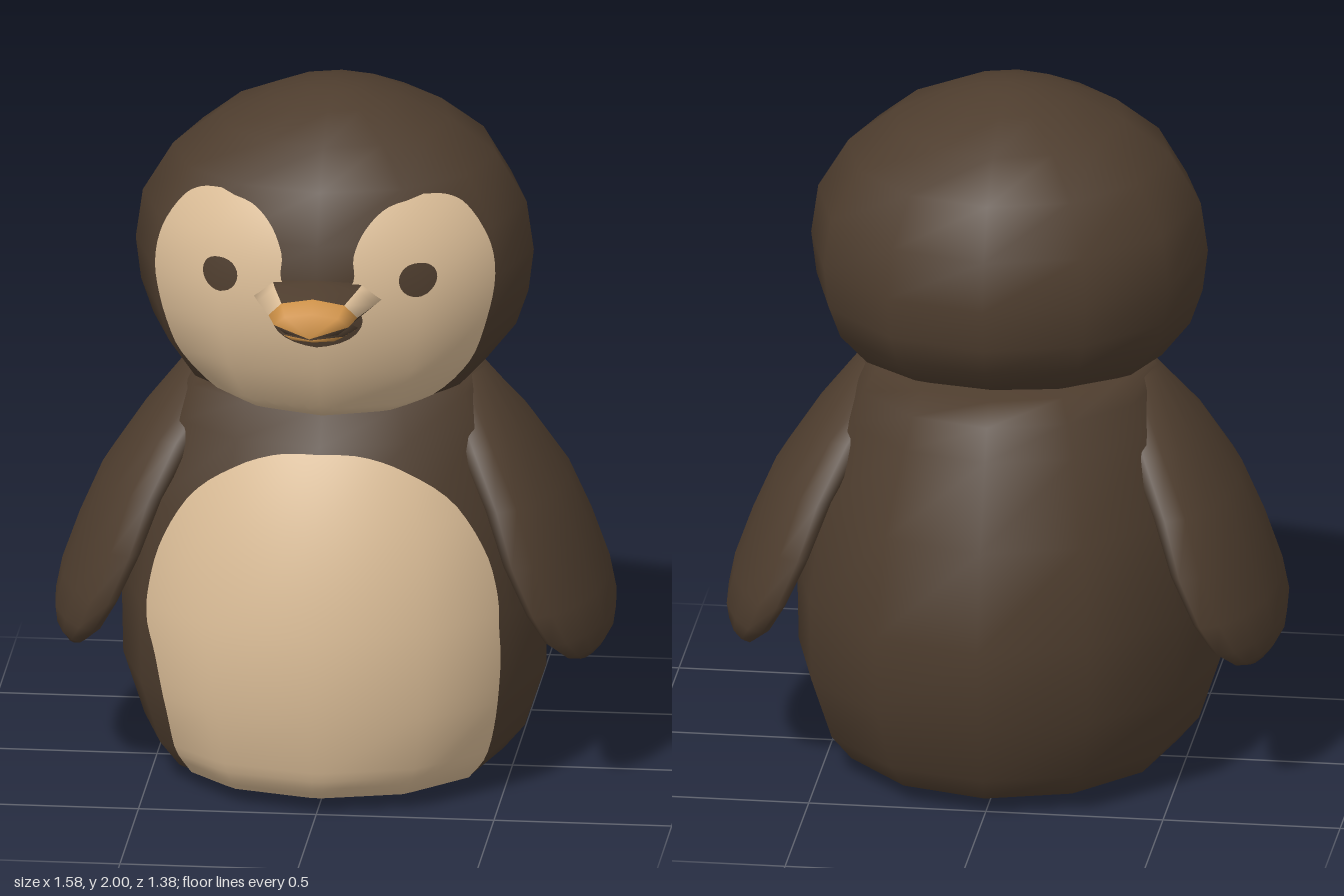
import * as THREE from 'three';
import { mergeVertices } from 'three/addons/utils/BufferGeometryUtils.js';

const material = (name, color) => {
  const m = new THREE.MeshStandardMaterial({ color });
  m.name = name;
  return m;
};

// Skin a stack of rings of n points; point(row, angle) gives each corner.
function loft(name, rows, n, point, mats, matIndex = () => 0) {
  const pos = [], index = [], geo = new THREE.BufferGeometry();
  for (const row of rows)
    for (let j = 0; j < n; j++) pos.push(...point(row, (j / n) * Math.PI * 2));
  for (let i = 0; i < rows.length - 1; i++)
    for (let j = 0; j < n; j++) {
      const k = (j + 1) % n, a = i * n + j, b = i * n + k, c = b + n, d = a + n;
      geo.addGroup(index.length, 6, matIndex(i, j));
      index.push(a, b, c, a, c, d);
    }
  geo.setAttribute('position', new THREE.Float32BufferAttribute(pos, 3));
  geo.setIndex(index);
  if (!Array.isArray(mats)) geo.clearGroups();
  const merged = mergeVertices(geo, 1e-5);
  merged.computeVertexNormals();
  const mesh = new THREE.Mesh(merged, mats);
  mesh.name = name;
  return mesh;
}

// Upright oval ring: [y, half width, front depth, back depth, tilt]
const oval = ([y, a, f, b, tilt = 0], t) => {
  const c = Math.cos(t), z = c * (c > 0 ? f : b);
  return [a * Math.sin(t), y - tilt * z, z];
};

// Thin marking laid on the front of a surface, between a left and a right edge curve.
function marking(name, target, left, right, mat, lift = 0.007, nu = 28, nv = 36) {
  const curve = pts => new THREE.SplineCurve(pts.map(p => new THREE.Vector2(...p)));
  const L = curve(left), R = curve(right), ray = new THREE.Raycaster();
  const centre = new THREE.Box3().setFromObject(target).getCenter(new THREE.Vector3());
  const pos = [], nor = [], index = [];
  for (let i = 0; i <= nv; i++)
    for (let j = 0; j <= nu; j++) {
      const p = L.getPoint(i / nv).lerp(R.getPoint(i / nv), j / nu);
      let hit;
      for (let tries = 0; !hit && tries < 60; tries++) {
        ray.set(new THREE.Vector3(p.x, p.y, 3), new THREE.Vector3(0, 0, -1));
        hit = ray.intersectObject(target)[0];
        if (!hit) p.lerp(new THREE.Vector2(centre.x, centre.y), 0.01);
      }
      const normal = hit.normal.clone().normalize();
      pos.push(...hit.point.addScaledVector(normal, lift).toArray());
      nor.push(...normal.toArray());
    }
  for (let i = 0; i < nv; i++)
    for (let j = 0; j < nu; j++) {
      const a = i * (nu + 1) + j, d = a + nu + 1;
      index.push(a, a + 1, d + 1, a, d + 1, d);
    }
  const geo = new THREE.BufferGeometry();
  geo.setAttribute('position', new THREE.Float32BufferAttribute(pos, 3));
  geo.setAttribute('normal', new THREE.Float32BufferAttribute(nor, 3));
  geo.setIndex(index);
  const mesh = new THREE.Mesh(geo, mat);
  mesh.name = name;
  return mesh;
}

const mirror = pts => pts.map(([x, y]) => [-x, y]);

export function createModel() {
  const model = new THREE.Group();
  model.name = 'penguin';
  const brown = material('dark brown feathers', 0x4e3d2e);
  const tan = material('cream feathers', 0xdcbe98);
  const orange = material('orange beak', 0xcb8f46);

  // Body and head
  const body = loft('body', [
    [0, 0, 0, 0], [0.025, 0.41, 0.42, 0.45], [0.05, 0.475, 0.49, 0.53], [0.12, 0.535, 0.525, 0.58],
    [0.3, 0.595, 0.56, 0.65], [0.54, 0.6, 0.575, 0.69], [0.82, 0.56, 0.51, 0.63],
    [1.05, 0.48, 0.41, 0.52], [1.14, 0.44, 0.33, 0.48], [1.2, 0.4, 0.26, 0.43], [1.24, 0, 0, 0],
  ], 12, oval, brown);
  const head = loft('head', [
    [1.17, 0, 0, 0], [1.165, 0.36, 0.33, 0.37, 0.13], [1.2, 0.43, 0.39, 0.45, 0.1],
    [1.3, 0.51, 0.45, 0.53, 0.04], [1.4, 0.545, 0.485, 0.56], [1.52, 0.56, 0.495, 0.575],
    [1.66, 0.54, 0.475, 0.55], [1.8, 0.455, 0.41, 0.475], [1.9, 0.325, 0.31, 0.35],
    [1.965, 0.18, 0.18, 0.2], [1.992, 0.08, 0.08, 0.09], [2, 0, 0, 0],
  ], 12, oval, brown);
  model.add(body, head);

  // Belly patch
  const bellyTop = [[0.49, 0.5], [0.485, 0.6], [0.45, 0.73], [0.37, 0.87], [0.25, 0.97], [0.12, 1.02], [0, 1.03]];
  const bellyLeft = [[0.4, 0.05], [0.45, 0.12], [0.48, 0.25], [0.493, 0.4], ...bellyTop];
  const bellyRight = [[0.37, 0.05], [0.41, 0.12], [0.435, 0.25], [0.465, 0.4], ...bellyTop];
  model.add(marking('bellyPatch', body, mirror(bellyRight), bellyLeft, tan));

  // Face patches, eyes and wings, one per side
  const outer = [[0, 1.122], [0.15, 1.135], [0.3, 1.175], [0.4, 1.27], [0.45, 1.4], [0.473, 1.53],
    [0.452, 1.64], [0.395, 1.727], [0.34, 1.764], [0.28, 1.777]];
  const inner = [[0, 1.122], [0, 1.2], [0, 1.3], [0, 1.4], [0.05, 1.5], [0.1, 1.56], [0.1, 1.63],
    [0.13, 1.7], [0.19, 1.755], [0.28, 1.777]];
  const arc = (cx, cy, rx, ry, side) => Array.from({ length: 9 }, (_, i) => {
    const a = -Math.PI / 2 + (i / 8) * Math.PI;
    return [cx + side * rx * Math.cos(a), cy + ry * Math.sin(a)];
  });
  const bend = (v, e) => Math.sign(v) * Math.abs(v) ** e;
  for (const s of [1, -1]) {
    const side = s > 0 ? 'left' : 'right';
    model.add(s > 0
      ? marking('leftFacePatch', head, inner, outer, tan)
      : marking('rightFacePatch', head, mirror(outer), mirror(inner), tan));
    const ex = 0.272 * s;
    model.add(marking(side + 'Eye', head, arc(ex, 1.56, 0.05, 0.047, -1), arc(ex, 1.56, 0.05, 0.047, 1),
      brown, 0.014, 8, 12));
    // Wing rows: [y, inner x, outer x, front z, back z]; front and back edges curl inwards
    model.add(loft(side + 'Wing', [
      [1.19, 0.3, 0.3, 0, 0], [1.17, 0.24, 0.425, 0.1, -0.13], [1.0, 0.37, 0.555, 0.26, -0.3],
      [0.85, 0.47, 0.655, 0.335, -0.39], [0.7, 0.55, 0.72, 0.385, -0.45], [0.56, 0.62, 0.77, 0.385, -0.455],
      [0.47, 0.665, 0.788, 0.355, -0.42], [0.415, 0.705, 0.78, 0.29, -0.35],
      [0.385, 0.725, 0.76, 0.2, -0.26], [0.38, 0.735, 0.735, -0.03, -0.03],
    ], 16, ([y, i, o, f, b], t) => [
      s * ((i + o) / 2 - 2.5 * (f - b) ** 2 * 0.055 * Math.cos(t) ** 2) - (o - i) / 2 * bend(Math.sin(t), 0.75), y,
      (f + b) / 2 + (f - b) / 2 * bend(Math.cos(t), 0.9),
    ], brown));
  }

  // Mouth shading under the beak
  model.add(marking('mouth', head, arc(0, 1.45, 0.125, 0.075, -1), arc(0, 1.45, 0.125, 0.075, 1),
    brown, 0.014, 10, 12));

  // Beak rows: [z, half width, top y, bottom y]
  const beakPoint = ([z, w, top, low], t) =>
    [-w * Math.sin(t), (top + low) / 2 + (top - low) / 2 * Math.cos(t), z];
  model.add(loft('upperBeak', [
    [0.38, 0, 1.5, 1.5], [0.4, 0.2, 1.585, 1.44], [0.5, 0.165, 1.565, 1.445], [0.59, 0.125, 1.545, 1.445],
    [0.635, 0.105, 1.515, 1.447], [0.69, 0, 1.46, 1.46],
  ], 8, beakPoint, [brown, tan, orange], (i, j) => {
    if (j > 1 && j < 6 && i < 3) return 0;
    if (i > 2) return j > 1 && j < 6 ? 0 : 2;
    return j === 1 || j === 6 ? 1 : 0;
  }));
  model.add(loft('lowerBeak', [
    [0.38, 0, 1.42, 1.42], [0.4, 0.13, 1.46, 1.385], [0.5, 0.11, 1.46, 1.4],
    [0.58, 0.085, 1.455, 1.415], [0.66, 0, 1.447, 1.447],
  ], 8, beakPoint, [brown, orange], (i, j) => (i > 1 && j > 1 && j < 6 ? 1 : 0)));

  return model;
}
